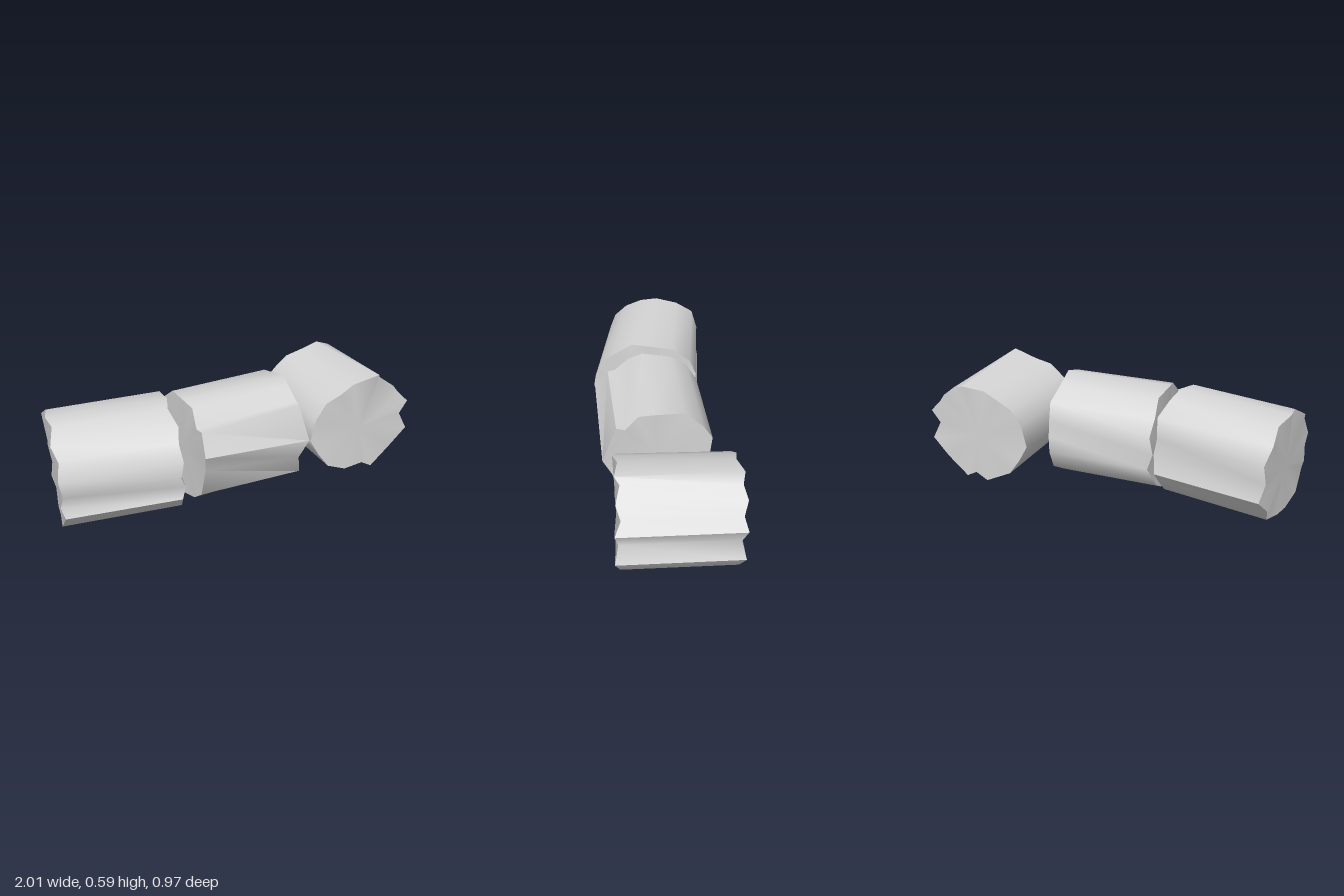
import * as THREE from 'three';
import { toCreasedNormals } from 'three/addons/utils/BufferGeometryUtils.js';

// Small seeded generator for the chipped rims
function seeded(seed) {
  let s = seed;
  return () => (s = (s * 16807) % 2147483647) / 2147483647;
}

// Loft a worn outline along z, with rippled rims and fan-shaped ends.
// Outline points are [x, y], or [x, y, backX, backY] where the two ends differ.
function drumGeometry(outline, length, frontScale, backScale, seed) {
  const rand = seeded(seed);
  const pts = [...outline].sort((a, b) => Math.atan2(a[1], a[0]) - Math.atan2(b[1], b[0]));
  const half = length / 2;
  const rim = (i) => (i % 2 ? 0.009 : -0.008) + (rand() - 0.5) * 0.014;
  const front = pts.map(([x, y], i) => [x * frontScale, y, half + rim(i)]);
  const back = pts.map(([x, y, bx = x, by = y], i) => [bx * backScale, by, -half - rim(i)]);
  const frontCentre = [0, 0, half], backCentre = [0, 0, -half];
  const positions = [];
  const tri = (a, b, c) => positions.push(...a, ...b, ...c);
  for (let i = 0; i < pts.length; i++) {
    const j = (i + 1) % pts.length;
    tri(back[i], back[j], front[j]);
    tri(back[i], front[j], front[i]);
    tri(frontCentre, front[i], front[j]);
    tri(backCentre, back[j], back[i]);
  }
  const geometry = new THREE.BufferGeometry();
  geometry.setAttribute('position', new THREE.Float32BufferAttribute(positions, 3));
  return toCreasedNormals(geometry, 0.92);
}

// Each drum: worn outline, centre, axis direction in plan (x, z), tilt, end widths
const drums = [
  {
    name: 'rightDrum', centre: [-0.673, 0.302, 0.173], axis: [-0.999, 0.05], tilt: 0.02, length: 0.605, ends: [0.97, 1.03], seed: 11,
    outline: [[0.3, 0.0], [0.285, 0.08], [0.25, 0.17], [0.18, 0.225], [0.08, 0.28], [-0.02, 0.285], [-0.15, 0.265],
      [-0.25, 0.2], [-0.285, 0.1], [-0.27, 0], [-0.295, -0.1], [-0.22, -0.17], [-0.17, -0.245], [-0.05, -0.265],
      [0.08, -0.285], [0.19, -0.235], [0.29, -0.13], [0.266, -0.075]],
  },
  {
    name: 'middleDrum', centre: [-0.01, 0.302, 0.075], axis: [-0.972, 0.235], tilt: 0, length: 0.59, ends: [1, 1], seed: 29,
    outline: [[0.295, 0.08, 0.295, 0.02], [0.22, 0.19, 0.215, 0.205], [0.18, 0.19, 0.17, 0.2], [0.1, 0.27], [0.02, 0.288],
      [-0.14, 0.265], [-0.235, 0.19], [-0.29, 0.1], [-0.275, 0], [-0.295, -0.08], [-0.22, -0.2], [-0.1, -0.27],
      [0, -0.285], [0.11, -0.262], [0.23, -0.17, 0.21, -0.215], [0.25, -0.02, 0.245, -0.1]],
  },
  {
    name: 'leftDrum', centre: [0.647, 0.278, -0.13], axis: [0.188, 0.982], tilt: -0.025, length: 0.592, ends: [1, 0.98], seed: 47,
    outline: [[0.1, 0.305, 0.07, 0.288], [0.12, 0.27, 0.14, 0.268], [0.2, 0.22], [0.25, 0.165], [0.3, 0.11], [0.265, 0.03],
      [0.305, -0.06], [0.225, -0.17], [0.09, -0.262], [0.04, -0.24], [-0.09, -0.235, -0.04, -0.27], [-0.19, -0.2],
      [-0.265, -0.1], [-0.305, -0.02], [-0.29, 0.11], [-0.22, 0.19], [-0.14, 0.24], [-0.05, 0.27]],
  },
];

export function createModel() {
  const group = new THREE.Group();
  group.name = 'fallenColumnDrums';
  const stone = new THREE.MeshStandardMaterial({ color: 0xd6d6d6 });
  stone.name = 'paleStone';

  for (const { name, centre, axis, tilt, length, ends, seed, outline } of drums) {
    const drum = new THREE.Mesh(drumGeometry(outline, length, ends[0], ends[1], seed), stone);
    drum.name = name;
    drum.position.set(...centre);
    drum.rotation.set(tilt, Math.atan2(axis[0], axis[1]), 0, 'YXZ');
    group.add(drum);
  }
  return group;
}
